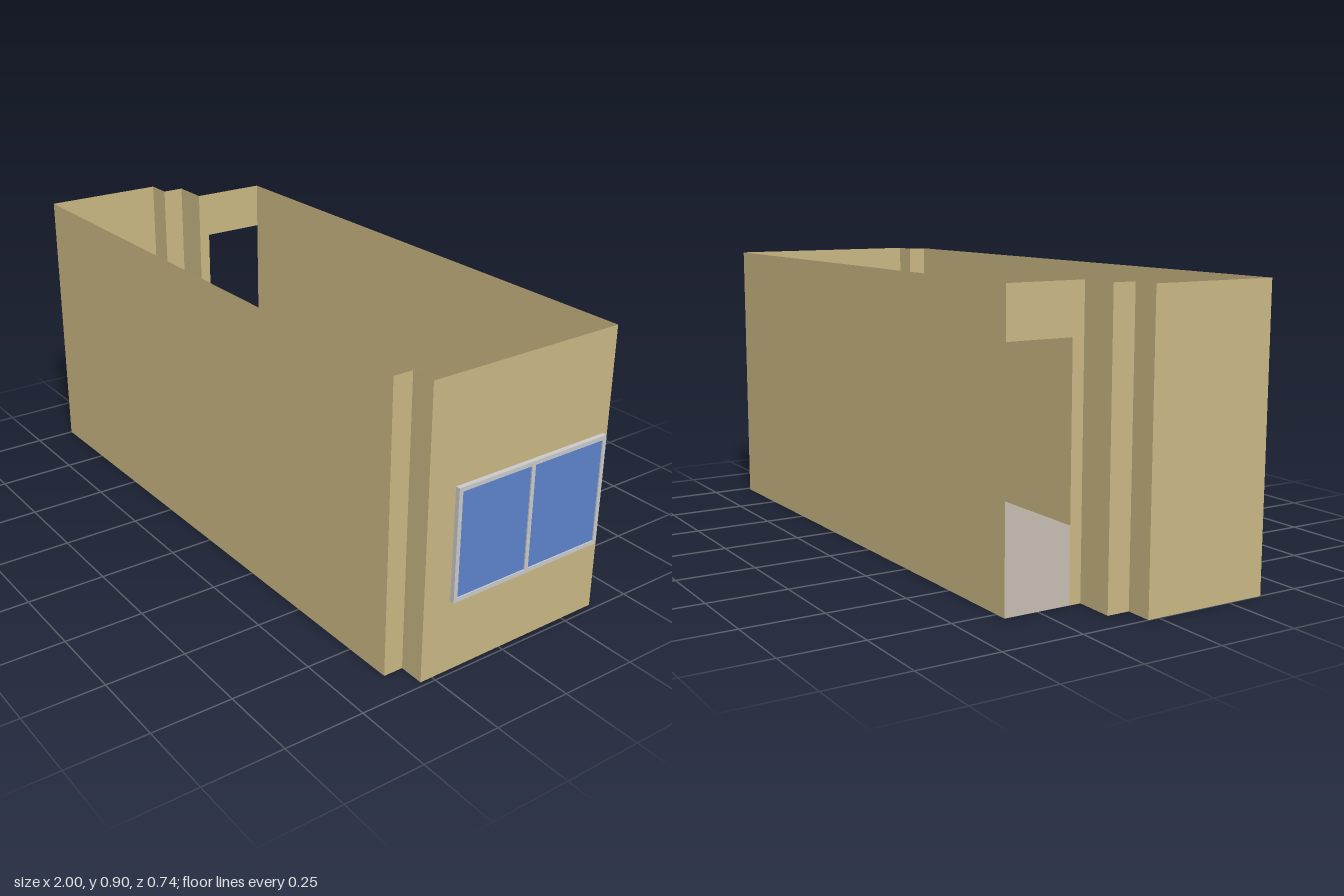
import * as THREE from 'three';

const HEIGHT = 0.9;

function rect(Type, x0, y0, x1, y1) {
  const p = new Type();
  p.moveTo(x0, y0).lineTo(x1, y0).lineTo(x1, y1).lineTo(x0, y1).closePath();
  return p;
}

function namedMesh(name, geometry, material) {
  const mesh = new THREE.Mesh(geometry, material);
  mesh.name = name;
  return mesh;
}

export function createModel() {
  const wallMat = new THREE.MeshStandardMaterial({ color: 0xcbb884, side: THREE.DoubleSide });
  wallMat.name = 'wall tan';
  const floorMat = new THREE.MeshStandardMaterial({ color: 0xb3aaa0, side: THREE.DoubleSide });
  floorMat.name = 'floor grey';
  const frameMat = new THREE.MeshStandardMaterial({ color: 0xcbcbcb });
  frameMat.name = 'frame light grey';
  const glassMat = new THREE.MeshStandardMaterial({ color: 0x5c84cd });
  glassMat.name = 'glass blue';

  const room = new THREE.Group();
  room.name = 'room';

  // Room outline as [x, z], counter-clockwise from above, each naming the wall that starts there
  const outline = [
    [-1, 0.368, 'frontWall'],
    [0.905, 0.353, 'frontStepSide'],
    [0.905, 0.29, 'frontStepFace'],
    [0.985, 0.29, 'windowWall'],
    [0.981, -0.37, 'backWall'],
    [-0.79, -0.358, 'doorWall'],
    [-0.79, -0.107, 'backStepFaceInner'],
    [-0.915, -0.107, 'backStepSide'],
    [-0.915, -0.035, 'backStepFaceOuter'],
    [-1, -0.035, 'leftWall'],
  ];

  // Floor
  const floorShape = new THREE.Shape(outline.map(([x, z]) => new THREE.Vector2(x, -z)));
  const floor = namedMesh('floor', new THREE.ShapeGeometry(floorShape), floorMat);
  floor.rotation.x = -Math.PI / 2;
  room.add(floor);

  // Window limits along its wall
  const win = { x0: 0.093, x1: 0.643, y0: 0.226, y1: 0.577, mid: 0.362, bar: 0.013 };

  // Walls: thin sheets, each in its own frame with x along the wall and z outward
  outline.forEach(([x, z, name], i) => {
    const [nx, nz] = outline[(i + 1) % outline.length];
    const length = Math.hypot(nx - x, nz - z);
    const wall = new THREE.Group();
    wall.name = name;
    wall.position.set(x, 0, z);
    wall.rotation.y = Math.atan2(z - nz, nx - x);

    let shape = rect(THREE.Shape, 0, 0, length, HEIGHT);
    if (name === 'doorWall') {
      // Doorway reaches the back corner, leaving a lintel and a narrow jamb
      const jamb = length - 0.038, head = 0.747;
      shape = new THREE.Shape();
      shape.moveTo(jamb, 0).lineTo(length, 0).lineTo(length, HEIGHT)
        .lineTo(0, HEIGHT).lineTo(0, head).lineTo(jamb, head).closePath();
    }
    if (name === 'windowWall') {
      shape.holes.push(rect(THREE.Path, win.x0 + 0.004, win.y0 + 0.004, win.x1 - 0.004, win.y1 - 0.004));
      wall.add(createWindow(win, frameMat, glassMat));
    }
    wall.add(namedMesh(name + 'Sheet', new THREE.ShapeGeometry(shape), wallMat));
    room.add(wall);
  });

  return room;
}

// Two-pane window standing just outside the wall
function createWindow({ x0, x1, y0, y1, mid, bar }, frameMat, glassMat) {
  const group = new THREE.Group();
  group.name = 'window';
  const depth = 0.0145;
  const panes = [
    [x0 + bar, mid - bar / 2],
    [mid + bar / 2, x1 - bar],
  ];
  const shape = rect(THREE.Shape, x0, y0, x1, y1);
  for (const [a, b] of panes) {
    shape.holes.push(rect(THREE.Path, a, y0 + bar, b, y1 - bar));
    const glass = namedMesh('windowPane', new THREE.BoxGeometry(b - a, y1 - y0 - 2 * bar, 0.007), glassMat);
    glass.position.set((a + b) / 2, (y0 + y1) / 2, depth / 2);
    group.add(glass);
  }
  const frame = new THREE.ExtrudeGeometry(shape, { depth, bevelEnabled: false });
  group.add(namedMesh('windowFrame', frame, frameMat));
  return group;
}
